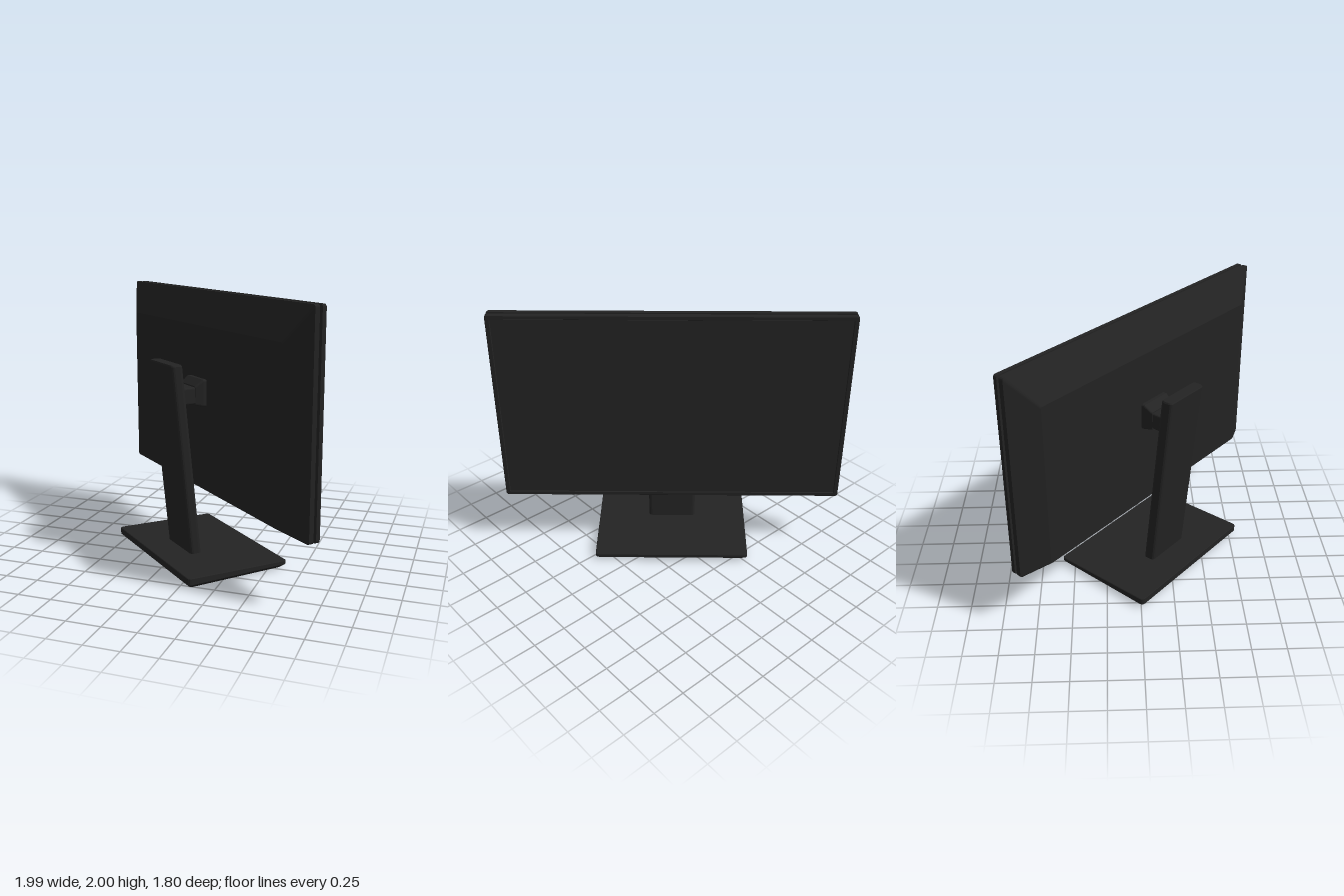
import * as THREE from 'three';

// Rounded rectangle as a counter-clockwise list of [a, b] points
function roundRect(halfA, halfB, r, ca = 0, cb = 0, steps = 3) {
  const pts = [];
  [[1, 1], [-1, 1], [-1, -1], [1, -1]].forEach(([sa, sb], k) => {
    for (let i = 0; i <= steps; i++) {
      const t = (k + i / steps) * Math.PI / 2;
      pts.push([ca + sa * (halfA - r) + r * Math.cos(t), cb + sb * (halfB - r) + r * Math.sin(t)]);
    }
  });
  return pts;
}

// Joins a stack of convex rings with flat faces and caps both ends
function loft(rings) {
  const pos = [];
  const tri = (...v) => v.forEach((p) => pos.push(p.x, p.y, p.z));
  const n = rings[0].length;
  for (let k = 0; k < rings.length - 1; k++) {
    for (let i = 0; i < n; i++) {
      const j = (i + 1) % n, p = rings[k], q = rings[k + 1];
      tri(p[i], p[j], q[j]);
      tri(p[i], q[j], q[i]);
    }
  }
  const a = rings[0], b = rings[rings.length - 1];
  for (let i = 1; i < n - 1; i++) {
    tri(a[0], a[i + 1], a[i]);
    tri(b[0], b[i], b[i + 1]);
  }
  const g = new THREE.BufferGeometry();
  g.setAttribute('position', new THREE.Float32BufferAttribute(pos, 3));
  g.computeVertexNormals();
  return g;
}

// Upright ring (stacked along z) and level ring (stacked along y, height may vary with z)
const upright = (hx, hy, r, cy, z) => roundRect(hx, hy, r, 0, cy).map(([x, y]) => new THREE.Vector3(x, y, z));
const level = (hz, hx, r, cz, y) => roundRect(hz, hx, r, cz, 0)
  .map(([z, x]) => new THREE.Vector3(x, typeof y === 'function' ? y(z) : y, z));

export function createModel() {
  const body = new THREE.MeshStandardMaterial({ color: 0x232323 });
  body.name = 'blackPlastic';
  const glass = new THREE.MeshStandardMaterial({ color: 0x242424 });
  glass.name = 'darkScreen';

  const model = new THREE.Group();
  model.name = 'monitor';
  const turned = new THREE.Group();
  turned.name = 'turnedMonitor';
  turned.rotation.y = -0.731;
  model.add(turned);

  const add = (name, geometry, material = body) => {
    const mesh = new THREE.Mesh(geometry, material);
    mesh.name = name;
    turned.add(mesh);
    return mesh;
  };

  const cy = 1.235, hw = 1.3, hh = 0.765;

  // Front frame: recessed opening, bezel face, outer edge
  add('bezel', loft([
    upright(1.265, 0.73, 0.004, cy, -0.034),
    upright(1.27, 0.735, 0.004, cy, -0.044),
    upright(hw - 0.006, hh - 0.006, 0.015, cy, -0.044),
    upright(hw, hh, 0.018, cy, -0.038),
    upright(hw, hh, 0.018, cy, -0.01),
  ]));
  const screen = add('screen', new THREE.BoxGeometry(2.53, 1.46, 0.004), glass);
  screen.position.set(0, cy, -0.036);

  // Narrow core leaves a groove round the edge
  const core = add('grooveCore', new THREE.BoxGeometry(2.53, 1.51, 0.024));
  core.position.set(0, cy, 0);

  // Rear shell with sloping sides
  add('rearShell', loft([
    upright(hw, hh, 0.018, cy, 0.01),
    upright(hw, hh, 0.018, cy, 0.045),
    upright(1.1, 0.615, 0.012, 1.14, 0.145),
  ]));

  // Mount plate and neck between shell and column
  add('mountPlate', loft([
    upright(0.13, 0.1, 0.015, 1.27, 0.14),
    upright(0.13, 0.1, 0.015, 1.27, 0.17),
    upright(0.115, 0.07, 0.012, 1.255, 0.23),
  ]));
  add('neck', loft([
    upright(0.112, 0.062, 0.012, 1.255, 0.2),
    upright(0.112, 0.062, 0.012, 1.255, 0.37),
  ]));

  // Column leaning backwards
  const columnZ = (y) => 0.269 + 0.1 * (y - 0.08);
  add('column', loft([
    level(0.045, 0.19, 0.025, columnZ(0.06), 0.06),
    level(0.045, 0.19, 0.025, columnZ(1.493), 1.493),
    level(0.039, 0.184, 0.02, columnZ(1.503), 1.503),
  ]));

  // Base plate: chamfered underneath, thinner towards the screen side
  const topY = (z) => 0.08 - 0.028 * (0.55 - z);
  add('basePlate', loft([
    level(0.38, 0.57, 0.02, 0.14, 0.002),
    level(0.41, 0.6, 0.025, 0.14, 0.03),
    level(0.41, 0.6, 0.025, 0.14, (z) => topY(z) - 0.004),
    level(0.406, 0.596, 0.023, 0.14, topY),
  ]));
  const cover = add('undersideCover', new THREE.BoxGeometry(0.36, 0.004, 0.12));
  cover.position.set(0, 0.002, 0.2);

  return model;
}
